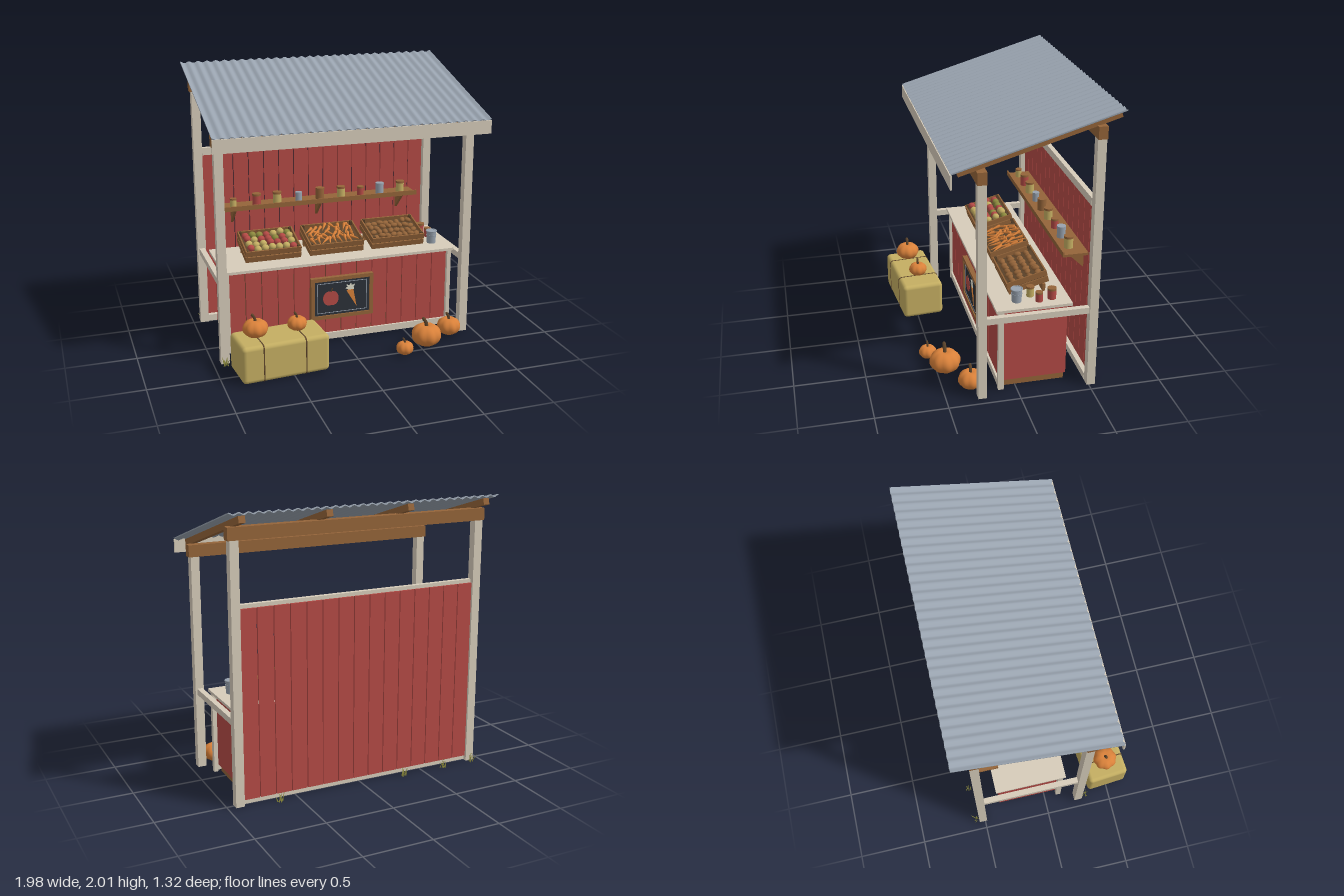
import * as THREE from 'three';
import { toCreasedNormals } from 'three/addons/utils/BufferGeometryUtils.js';
import { RoundedBoxGeometry } from 'three/addons/geometries/RoundedBoxGeometry.js';

const paint = (name, color) => Object.assign(new THREE.MeshStandardMaterial({ color }), { name });
const M = {
  cream: paint('cream paint', 0xd6ccba), red: paint('barn red', 0xb44a45), wood: paint('wood', 0x946439),
  steel: paint('steel', 0x98a2ae), hay: paint('straw yellow', 0xc4ae62), orange: paint('pumpkin orange', 0xd9813a),
  slate: paint('slate', 0x2b3138), dark: paint('dark brown', 0x5e452b), grass: paint('grass', 0x8c8a3e),
  chalk: paint('chalk white', 0xdedccb),
};

let seed = 7;
const rand = (a, b) => { seed = (seed * 16807) % 2147483647; return a + (b - a) * seed / 2147483647; };

function add(parent, name, geo, mat, x = 0, y = 0, z = 0) {
  const m = new THREE.Mesh(geo, mat);
  m.name = name;
  m.position.set(x, y, z);
  parent.add(m);
  return m;
}
const box = (p, name, mat, w, h, d, x, y, z) => add(p, name, new THREE.BoxGeometry(w, h, d), mat, x, y, z);
function group(parent, name, x = 0, y = 0, z = 0) {
  const g = new THREE.Group();
  g.name = name;
  g.position.set(x, y, z);
  parent.add(g);
  return g;
}
const polygon = pts => new THREE.Shape(pts.map(p => new THREE.Vector2(...p)));
const extrude = (shape, depth) =>
  new THREE.ExtrudeGeometry(shape, { depth, bevelEnabled: false, curveSegments: 6 }).translate(0, 0, -depth / 2);

// Ribbed pumpkin resting on y, with a bent stem
function pumpkin(parent, x, y, z, r, h) {
  const g = group(parent, 'pumpkin', x, y, z);
  const geo = new THREE.SphereGeometry(1, 40, 16);
  const p = geo.attributes.position;
  for (let i = 0; i < p.count; i++) {
    const a = Math.atan2(p.getZ(i), p.getX(i)), s = Math.hypot(p.getX(i), p.getZ(i));
    const rib = r * (1 - 0.1 * (1 - Math.abs(Math.cos(a * 4))) * s);
    const dip = 0.2 * Math.exp(-s * s * 12) * Math.sign(p.getY(i));
    p.setXYZ(i, p.getX(i) * rib, h / 2 * (1 + p.getY(i) - dip), p.getZ(i) * rib);
  }
  geo.computeVertexNormals();
  add(g, 'pumpkinFlesh', geo, M.orange);
  const curve = new THREE.QuadraticBezierCurve3(new THREE.Vector3(0, h * 0.86, 0),
    new THREE.Vector3(0, h * 1.1, 0), new THREE.Vector3(-r * 0.22, h * 1.25, 0));
  add(g, 'pumpkinStem', new THREE.TubeGeometry(curve, 4, r * 0.12, 6), M.dark);
  add(g, 'pumpkinStemTip', new THREE.SphereGeometry(r * 0.12, 6, 4), M.dark, -r * 0.22, h * 1.25, 0);
}

// Preserve jar with a lid
function jar(parent, mat, x, y, z, r, h) {
  const g = group(parent, 'jar', x, y, z);
  add(g, 'jarBody', new THREE.CylinderGeometry(r, r, h * 0.82, 14), mat, 0, h * 0.41, 0);
  add(g, 'jarLid', new THREE.CylinderGeometry(r * 1.06, r * 1.06, h * 0.18, 14), mat === M.steel ? M.steel : M.wood, 0, h * 0.91, 0);
}

// Slatted crate tilted to the front, origin at its front bottom edge
function crate(parent, x, fill) {
  const g = group(parent, 'crate', x, 0.634, 0.01), w = 0.415, d = 0.29, h = 0.092;
  g.rotation.x = 0.25;
  box(g, 'crateBottom', M.wood, w - 0.01, 0.01, d, 0, 0.005, -d / 2);
  for (const y of [0.022, 0.07]) {
    for (const z of [-0.005, -d + 0.005]) box(g, 'crateSlat', M.wood, w, 0.04, 0.01, 0, y, z);
    for (const s of [-1, 1]) box(g, 'crateSideSlat', M.wood, 0.01, 0.04, d - 0.02, s * (w / 2 - 0.005), y, -d / 2);
  }
  for (const s of [-1, 1]) for (const z of [-0.02, -d + 0.02])
    box(g, 'cratePost', M.dark, 0.018, h + 0.004, 0.018, s * (w / 2 - 0.018), h / 2 + 0.002, z);
  box(g, 'crateLining', M.dark, w - 0.02, 0.05, d - 0.02, 0, 0.035, -d / 2);
  fill(g);
  box(parent, 'crateProp', M.wood, w - 0.04, 0.055, 0.02, x, 0.65, -0.24);
}

// Tuft of grass blades
function tuft(parent, x, z) {
  const g = group(parent, 'grassTuft', x, 0, z);
  for (let i = 0; i < 7; i++) {
    const h = rand(0.05, 0.085), blade = group(g, 'blade', rand(-0.02, 0.02), 0, rand(-0.015, 0.015));
    add(blade, 'grassBlade', new THREE.ConeGeometry(0.005, h, 4), M.grass, 0, h / 2, 0);
    blade.rotation.set(rand(-0.4, 0.4), 0, rand(-0.5, 0.5));
  }
}

export function createModel() {
  seed = 7;
  const model = new THREE.Group();
  model.name = 'marketStall';

  // Posts, side rails and roof beams
  const frame = group(model, 'frame');
  for (const s of [-1, 1]) {
    box(frame, 'frontPost', M.cream, 0.062, 1.57, 0.06, s * 0.916, 0.785, 0.255);
    box(frame, 'backPost', M.cream, 0.062, 1.81, 0.06, s * 0.916, 0.905, -0.515);
    box(frame, 'sideRail', M.cream, 0.04, 0.045, 0.71, s * 0.915, 0.583, -0.13);
  }
  box(frame, 'frontBeam', M.wood, 1.92, 0.085, 0.065, 0, 1.612, 0.257);
  box(frame, 'backBeam', M.wood, 1.92, 0.085, 0.062, 0, 1.85, -0.515);

  // Corrugated roof on four rafters
  const roof = group(model, 'roof', 0, 1.828, -0.1);
  roof.rotation.x = 0.287;
  const waves = 30, n = waves * 6, top = [], under = [];
  for (let i = 0; i <= n; i++) {
    const x = -0.99 + 1.98 * i / n, y = 0.007 * Math.cos(i * Math.PI / 3);
    top.push([x, y + 0.004]);
    under.unshift([x, y - 0.004]);
  }
  add(roof, 'roofSheet', toCreasedNormals(extrude(polygon([...under.reverse(), ...top.reverse()]), 1.165), 0.9), M.steel);
  for (const x of [-0.9, -0.3, 0.3, 0.9]) box(roof, 'rafter', M.wood, 0.045, 0.045, 1.1, x, -0.033, -0.01);
  box(model, 'fascia', M.cream, 1.98, 0.095, 0.012, 0, 1.615, 0.459);

  // Back wall of spaced boards
  const wall = group(model, 'backWall');
  for (let i = 0; i < 15; i++)
    box(wall, 'wallBoard', M.red, 0.111, 1.32, 0.016, (i - 7) * 0.118, 0.7, -0.526);
  box(wall, 'topRail', M.cream, 1.77, 0.055, 0.035, 0, 1.358, -0.5);
  box(wall, 'bottomRail', M.cream, 1.77, 0.05, 0.035, 0, 0.03, -0.5);

  // Counter with boarded front
  const counter = group(model, 'counter');
  box(counter, 'counterBody', M.red, 1.68, 0.55, 0.45, 0, 0.33, -0.135);
  box(counter, 'toeKick', M.wood, 1.64, 0.055, 0.43, 0, 0.028, -0.135);
  box(counter, 'counterTop', M.cream, 1.765, 0.02, 0.53, 0, 0.615, -0.12);
  box(counter, 'boardBacking', M.dark, 1.68, 0.54, 0.004, 0, 0.33, 0.092);
  for (let i = 0; i < 14; i++)
    box(counter, 'counterBoard', M.red, 0.113, 0.55, 0.016, (i - 6.5) * 0.12, 0.33, 0.102);
  for (const s of [-1, 1]) box(counter, 'cornerTrim', M.cream, 0.03, 0.605, 0.04, s * 0.855, 0.302, 0.11);
  box(counter, 'baseTrim', M.cream, 1.69, 0.05, 0.02, 0, 0.03, 0.115);

  // Chalkboard sign with an apple and a carrot
  const sign = group(model, 'chalkboard', 0, 0.337, 0.125);
  box(sign, 'slateBoard', M.slate, 0.44, 0.29, 0.02, 0, 0, 0);
  for (const s of [-1, 1]) {
    box(sign, 'frameRail', M.wood, 0.48, 0.028, 0.035, 0, s * 0.148, 0.002);
    box(sign, 'frameStile', M.wood, 0.028, 0.27, 0.035, s * 0.226, 0, 0.002);
    box(sign, 'borderLine', M.steel, 0.38, 0.004, 0.003, 0, s * 0.115, 0.011);
    box(sign, 'borderLine', M.steel, 0.004, 0.23, 0.003, s * 0.19, 0, 0.011);
  }
  const apple = group(sign, 'paintedApple', -0.088, -0.003, 0.012);
  for (const s of [-1, 1])
    add(apple, 'appleHalf', new THREE.CylinderGeometry(0.046, 0.046, 0.004, 24).rotateX(Math.PI / 2), M.red, s * 0.014, 0, 0).scale.y = 1.2;
  box(apple, 'appleStem', M.dark, 0.007, 0.03, 0.004, 0.008, 0.066, 0).rotation.z = -0.3;
  add(sign, 'paintedCarrot', extrude(polygon([[0.035, 0.04], [0.112, -0.088], [0.085, 0.058], [0.06, 0.062]]), 0.004), M.orange, 0, 0, 0.012);
  add(sign, 'paintedLeaves', extrude(polygon([[0.05, 0.05], [0.026, 0.062], [0.042, 0.073], [0.03, 0.092],
    [0.055, 0.084], [0.068, 0.102], [0.075, 0.082], [0.1, 0.09], [0.088, 0.07], [0.09, 0.05]]), 0.004), M.chalk, 0, 0, 0.013);

  // Shelf with brackets and jars
  const shelf = group(model, 'shelf');
  box(shelf, 'shelfBoard', M.wood, 1.545, 0.018, 0.175, 0, 0.927, -0.43);
  box(shelf, 'shelfLip', M.wood, 1.545, 0.035, 0.01, 0, 0.938, -0.342);
  for (const x of [-0.67, 0, 0.67])
    add(shelf, 'bracket', extrude(polygon([[0, 0], [0, -0.135], [0.14, 0]]), 0.02).rotateY(-Math.PI / 2), M.wood, x, 0.918, -0.515);
  [[-0.68, M.hay, 0.065], [-0.5, M.red, 0.088], [-0.34, M.hay, 0.088], [-0.17, M.steel, 0.07], [0, M.wood, 0.09],
    [0.17, M.hay, 0.086], [0.33, M.red, 0.072], [0.49, M.steel, 0.086], [0.66, M.hay, 0.088]]
    .forEach(([x, mat, h]) => jar(shelf, mat, x, 0.936, -0.41, h * 0.36, h));

  // Crates of apples, carrots and potatoes
  const goods = group(model, 'goods');
  crate(goods, -0.483, g => {
    const colours = [M.red, M.hay, M.grass, M.hay, M.red];
    for (let i = 0; i < 28; i++) {
      const a = add(g, 'apple', new THREE.SphereGeometry(0.027, 12, 8), colours[Math.floor(rand(0, 5))],
        (i % 7 - 3) * 0.053, rand(0.07, 0.092), -0.05 - Math.floor(i / 7) * 0.062);
      a.scale.y = 0.92;
    }
  });
  crate(goods, 0, g => {
    for (let i = 0; i < 36; i++) {
      const c = add(g, 'carrot', new THREE.ConeGeometry(0.013, 0.1, 8), M.orange,
        (i % 9 - 4) * 0.04, rand(0.064, 0.085), -0.06 - Math.floor(i / 9) * 0.057);
      c.rotation.set(Math.PI / 2, rand(-0.1, 0.1), rand(-0.9, 0.9));
    }
  });
  crate(goods, 0.483, g => {
    for (let i = 0; i < 32; i++) {
      const p = add(g, 'potato', new THREE.SphereGeometry(0.022, 10, 7), M.wood,
        (i % 8 - 3.5) * 0.046, rand(0.062, 0.082), -0.05 - Math.floor(i / 8) * 0.062);
      p.scale.set(1.3, 0.8, 0.95);
      p.rotation.y = rand(0, 3);
    }
  });

  // Pail and jars at the end of the counter
  const pail = group(goods, 'pail', 0.77, 0.625, -0.02);
  add(pail, 'pailBody', new THREE.CylinderGeometry(0.038, 0.033, 0.095, 16), M.steel, 0, 0.048, 0);
  add(pail, 'pailRim', new THREE.TorusGeometry(0.039, 0.005, 6, 16).rotateX(Math.PI / 2), M.steel, 0, 0.095, 0);
  add(pail, 'pailBand', new THREE.CylinderGeometry(0.0385, 0.0375, 0.008, 16), M.steel, 0, 0.06, 0);
  jar(goods, M.hay, 0.715, 0.625, -0.13, 0.027, 0.075);
  jar(goods, M.red, 0.78, 0.625, -0.265, 0.03, 0.08);
  jar(goods, M.red, 0.8, 0.625, -0.17, 0.025, 0.07);

  // Tied straw bale
  const bale = group(model, 'strawBale', -0.57, 0.136, 0.48);
  bale.rotation.y = 0.08;
  add(bale, 'straw', new RoundedBoxGeometry(0.63, 0.27, 0.31, 3, 0.03), M.hay);
  const loop = new THREE.Shape(), a = 0.157, b = 0.137, r = 0.03;
  loop.moveTo(-a + r, -b).lineTo(a - r, -b).quadraticCurveTo(a, -b, a, -b + r).lineTo(a, b - r).quadraticCurveTo(a, b, a - r, b);
  loop.lineTo(-a + r, b).quadraticCurveTo(-a, b, -a, b - r).lineTo(-a, -b + r).quadraticCurveTo(-a, -b, -a + r, -b);
  for (const x of [-0.165, 0.14]) add(bale, 'twine', extrude(loop, 0.008).rotateY(Math.PI / 2), M.dark, x, 0, 0);

  // Pumpkins on the bale and on the ground
  [[-0.745, 0.278, 0.5, 0.09, 0.13], [-0.44, 0.272, 0.465, 0.07, 0.105], [0.345, 0, 0.53, 0.064, 0.1],
    [0.55, 0.003, 0.44, 0.112, 0.168], [0.79, 0, 0.305, 0.09, 0.135]].forEach(p => pumpkin(model, ...p));

  // Grass around the posts and behind the wall
  [[-0.92, 0.31], [-0.92, -0.575], [0.64, -0.58], [-0.33, -0.58], [-0.66, -0.58]].forEach(p => tuft(model, ...p));
  return model;
}
